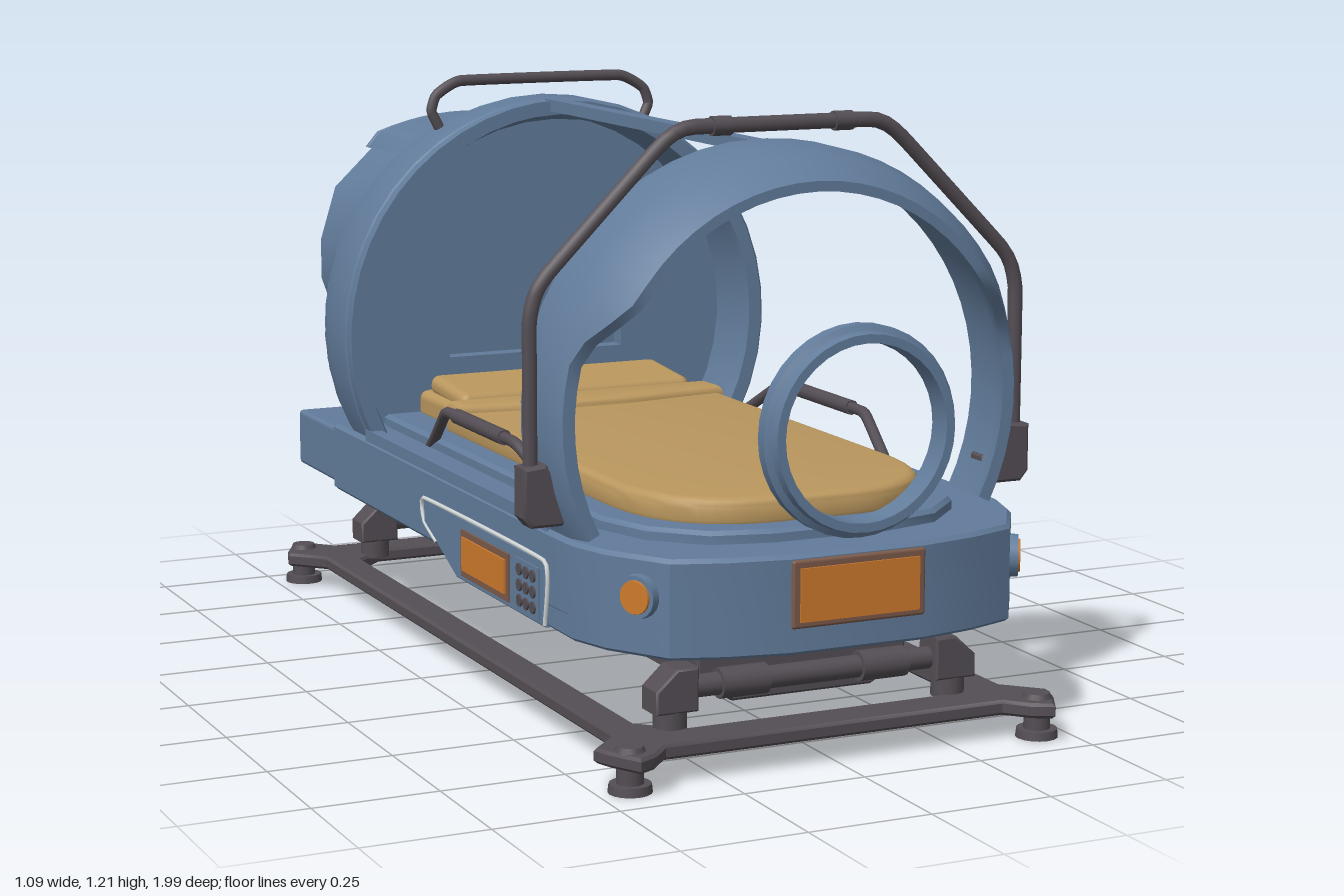
import * as THREE from 'three';
import { toCreasedNormals } from 'three/addons/utils/BufferGeometryUtils.js';
import { RoundedBoxGeometry } from 'three/addons/geometries/RoundedBoxGeometry.js';

const mat = (name, color) => Object.assign(new THREE.MeshStandardMaterial({ color }), { name });

export function createModel() {
  const root = new THREE.Group();
  const blue = mat('blue shell', 0x627c9b), dark = mat('dark metal', 0x544e54);
  const tan = mat('tan padding', 0xba975e), orange = mat('orange light', 0xcd7a2c);
  const pale = mat('pale trim', 0xd2d6d6), bronze = mat('bronze bezel', 0x7c5a4a);
  const CY = 0.65; // height of the ring axis

  // Helpers
  const add = (name, geo, m, x = 0, y = 0, z = 0) => {
    const mesh = new THREE.Mesh(geo, m);
    mesh.name = name;
    mesh.position.set(x, y, z);
    root.add(mesh);
    return mesh;
  };
  const box = (name, m, x0, x1, y0, y1, z0, z1, r = 0) => add(name,
    r ? new RoundedBoxGeometry(x1 - x0, y1 - y0, z1 - z0, 2, r) : new THREE.BoxGeometry(x1 - x0, y1 - y0, z1 - z0),
    m, (x0 + x1) / 2, (y0 + y1) / 2, (z0 + z1) / 2);
  const poly = pts => new THREE.Shape(pts.map(p => new THREE.Vector2(...p)));
  const mirrored = half => poly([...half, ...half.map(([x, y]) => [-x, y]).reverse()]);
  const extrude = (shape, h, b = 0) => toCreasedNormals(new THREE.ExtrudeGeometry(shape, {
    depth: h - 2 * b, bevelEnabled: b > 0, bevelSize: b, bevelThickness: b, bevelOffset: -b, bevelSegments: b > 0.012 ? 4 : 1, curveSegments: 12,
  }).translate(0, 0, b), 0.6);
  // Outline in x,z extruded upwards; in x,y extruded along z; in z,y extruded along x
  const slab = (name, m, shape, y0, y1, b) => add(name, extrude(shape, y1 - y0, b).rotateX(Math.PI / 2), m, 0, y1, 0);
  const plate = (name, m, shape, z0, z1, b) => add(name, extrude(shape, z1 - z0, b), m, 0, 0, z0);
  const side = (name, m, shape, x0, x1, b) => add(name, extrude(shape, x1 - x0, b).rotateY(-Math.PI / 2), m, x1, 0, 0);
  const tube = (name, m, pts, r, seg = 48) => add(name, new THREE.TubeGeometry(
    new THREE.CatmullRomCurve3(pts.map(p => new THREE.Vector3(...p)), false, 'catmullrom', 0.15), seg, r, 8), m);
  const rodX = (name, m, r, x0, x1, y, z) =>
    add(name, new THREE.CylinderGeometry(r, r, x1 - x0, 14).rotateZ(Math.PI / 2), m, (x0 + x1) / 2, y, z);
  const rect = (x0, x1, y0, y1) => poly([[x0, y0], [x1, y0], [x1, y1], [x0, y1]]);
  // Sweeps an anticlockwise (radius, z) loop around the ring axis
  const arc = (name, profile, a0, a1, n) => {
    const pos = [], idx = [];
    let k = 0;
    for (let i = 0; i <= n; i++) {
      const a = THREE.MathUtils.degToRad(a0 + (a1 - a0) * i / n), loop = profile(a);
      k = loop.length;
      for (const [r, z] of loop) pos.push(r * Math.cos(a), CY + r * Math.sin(a), z);
    }
    for (let i = 0; i < n; i++) for (let j = 0; j < k; j++) {
      const a = i * k + j, b = i * k + (j + 1) % k, c = b + k, d = a + k;
      idx.push(a, d, c, a, c, b);
    }
    const g = new THREE.BufferGeometry();
    g.setAttribute('position', new THREE.Float32BufferAttribute(pos, 3));
    g.setIndex(idx);
    return add(name, toCreasedNormals(g, 0.5), blue);
  };

  // Base frame with pointed corners and feet
  const corner = [[0.42, 0.8], [0.488, 0.87], [0.475, 0.91], [0.44, 0.975], [0.4, 0.955], [0.36, 0.91]];
  const frame = mirrored([...corner.map(([x, z]) => [x, -z]).reverse(), ...corner]);
  frame.holes.push(mirrored([[0.28, -0.82], [0.35, -0.75], [0.35, 0.75], [0.28, 0.82]]));
  slab('baseFrame', dark, frame, 0.048, 0.078, 0.006).position.z = -0.015;
  for (const x of [-0.435, 0.435]) for (const z of [0.9, -0.93]) {
    add('footPad', new THREE.CylinderGeometry(0.04, 0.042, 0.017, 16), dark, x, 0.0085, z);
    add('footStem', new THREE.CylinderGeometry(0.026, 0.026, 0.06, 14), dark, x, 0.04, z);
    add('footCap', new THREE.CylinderGeometry(0.025, 0.03, 0.012, 14), dark, x, 0.082, z);
  }

  // Pedestal: posts, cross rods and lift housing
  for (const z of [0.785, -0.815]) {
    for (const s of [-1, 1]) {
      add('postFoot', new THREE.CylinderGeometry(0.033, 0.033, 0.05, 14), dark, s * 0.3, 0.095, z);
      plate('post', dark, poly([[0.255, 0.11], [0.343, 0.11], [0.343, 0.155], [0.3, 0.195], [0.255, 0.195]]
        .map(([x, y]) => [s * x, y])), z - 0.035, z + 0.035, 0.004);
      rodX('rodCollar', dark, 0.03, s > 0 ? 0.1 : -0.2, s > 0 ? 0.2 : -0.1, 0.15, z);
    }
    rodX('crossRod', dark, 0.022, -0.26, 0.26, 0.15, z);
  }
  plate('liftHousing', dark, mirrored([[0.15, 0.1], [0.225, 0.14], [0.225, 0.28]]), -0.55, 0.75, 0.005);
  box('liftStep', dark, -0.2, 0.2, 0.13, 0.28, -0.685, -0.55);
  box('liftTail', dark, -0.17, 0.17, 0.1, 0.2, -0.79, -0.685);

  // Bed hull with rounded nose
  const nose = [[0.465, 0.6], [0.462, 0.7], [0.435, 0.79], [0.36, 0.91], [0.26, 0.945], [0.14, 0.968]];
  slab('hull', blue, mirrored([[0.465, -0.62], ...nose]), 0.28, 0.43, 0.008);
  slab('hullNose', blue, mirrored([[0.462, 0.5], ...nose.slice(1)]), 0.24, 0.42, 0.006);
  slab('tubRim', blue, mirrored([[0.37, -0.55], [0.37, 0.62], [0.33, 0.74], [0.24, 0.83], [0.12, 0.86]]), 0.42, 0.455, 0.008);
  box('underTray', blue, -0.3, 0.3, 0.25, 0.3, -0.1, 0.7);
  box('rearPlatform', blue, -0.455, 0.455, 0.29, 0.415, -0.89, -0.55, 0.01);

  // Front screen and corner lamps
  box('screenBezel', bronze, -0.14, 0.14, 0.29, 0.42, 0.94, 0.974, 0.006);
  box('frontScreen', orange, -0.125, 0.125, 0.303, 0.405, 0.97, 0.978);
  for (const s of [-1, 1]) {
    const lamp = (name, r, h, m, d) => {
      const g = new THREE.CylinderGeometry(r * 0.93, r, h, 18).rotateX(Math.PI / 2).translate(0, 0, d);
      add(name, g, m, s * 0.395, 0.355, 0.855).rotation.y = s * 1.04;
    };
    lamp('lampCollar', 0.044, 0.03, blue, 0);
    lamp('cornerLamp', 0.034, 0.01, orange, 0.014);
  }

  // Side control panels, keypads and grab handles
  for (const s of [-1, 1]) {
    const out = (name, m, shape, x0, x1, b) => side(name, m, shape, s > 0 ? x0 : -x1, s > 0 ? x1 : -x0, b);
    out('sidePanel', blue, poly([[0.585, 0.24], [0.585, 0.37], [-0.05, 0.37], [-0.05, 0.32], [0.13, 0.24]]), 0.36, 0.47, 0.003);
    tube('panelTrim', pale, [[0.585, 0.245], [0.585, 0.37], [-0.05, 0.37], [-0.05, 0.32], [0.02, 0.29]]
      .map(([z, y]) => [s * 0.469, y, z]), 0.0045, 60);
    out('sideScreenBezel', bronze, rect(0.165, 0.415, 0.252, 0.348), 0.465, 0.474);
    out('sideScreen', orange, rect(0.178, 0.402, 0.266, 0.335), 0.47, 0.478);
    out('keypad', blue, rect(0.45, 0.565, 0.25, 0.352), 0.465, 0.474);
    for (let i = 0; i < 3; i++) for (let j = 0; j < 3; j++)
      rodX('key', dark, 0.012, s * 0.474 - 0.004, s * 0.474 + 0.004, 0.27 + j * 0.031, 0.475 + i * 0.033);
    tube('grabHandle', dark, [[0.36, 0.43, 0.46], [0.365, 0.445, 0.43], [0.39, 0.525, 0.29], [0.395, 0.537, 0.25],
      [0.395, 0.537, -0.09], [0.39, 0.525, -0.13], [0.365, 0.445, -0.26], [0.36, 0.43, -0.29]].map(([x, y, z]) => [s * x, y, z]), 0.012);
    add('handleGrip', new THREE.CylinderGeometry(0.016, 0.016, 0.26, 10).rotateX(Math.PI / 2), dark, s * 0.395, 0.537, 0.08);
  }

  // Mattress and pillow
  const bed = poly([[-0.315, -0.31], [0.315, -0.31], [0.315, 0.52]]);
  bed.bezierCurveTo(0.315, 0.72, 0.22, 0.8, 0.08, 0.805);
  bed.lineTo(-0.08, 0.805);
  bed.bezierCurveTo(-0.22, 0.8, -0.315, 0.72, -0.315, 0.52);
  slab('mattress', tan, bed, 0.44, 0.503, 0.02);
  box('headPad', tan, -0.29, 0.29, 0.44, 0.505, -0.55, -0.29, 0.02);
  slab('neckRoll', tan, mirrored([[0.31, -0.32], [0.315, -0.24], [0.2, -0.225], [0.08, -0.205]]), 0.47, 0.52, 0.018);
  const pillow = box('pillow', tan, -0.275, 0.275, 0.49, 0.535, -0.52, -0.32, 0.02);
  pillow.rotation.x = 0.08;

  // Front arch: its upper part reaches forward as a tapered visor
  arc('frontArch', a => {
    const t = THREE.MathUtils.smoothstep(CY + 0.5 * Math.sin(a), 0.77, 0.93), zf = 0.71 + 0.087 * t;
    return [[0.465, 0.58], [0.505, 0.58], [0.503, 0.67], [0.492 - 0.006 * t, 0.7 + 0.03 * t],
      [0.485 - 0.04 * t, zf], [0.46 - 0.035 * t, zf], [0.465, 0.68]];
  }, -27, 207, 40);

  // Rear ring with a recessed wall
  arc('rearRing', () => [[0.455, -0.6], [0.485, -0.61], [0.505, -0.52], [0.505, -0.425], [0.498, -0.415], [0.468, -0.415], [0.455, -0.45]], -28, 208, 28);
  const dome = r => {
    const s = new THREE.Shape();
    s.absarc(0, CY, r, -0.49, Math.PI + 0.49, false);
    return s;
  };
  const wall = dome(0.46);
  wall.holes.push(rect(-0.21, 0.21, 0.57, 0.69));
  plate('innerWall', blue, wall, -0.595, -0.555);
  plate('ringBack', blue, dome(0.485), -0.61, -0.595);

  // Open canopy frame on the right half, with ridge beam
  for (const z of [-0.42, 0.55])
    arc('canopyRib', () => [[0.472, z], [0.502, z], [0.502, z + 0.03], [0.472, z + 0.03]], 90, 206, 16);
  box('ridgeBeam', blue, -0.034, 0, 1.128, 1.153, -0.42, 0.58);
  box('canopySill', blue, -0.462, -0.435, 0.425, 0.45, -0.42, 0.58);

  // Rear barrel, hood and neck
  const barrel = [[0.22, 0.52], [0.285, 0.55], [0.345, 0.62], [0.377, 0.71], [0.377, 0.8], [0.34, 0.92], [0.24, 1.015]];
  plate('rearBarrel', blue, mirrored(barrel), -0.945, -0.6, 0.008);
  plate('barrelCover', blue, mirrored(barrel.map(([x, y]) => [x * 0.93, 0.765 + (y - 0.765) * 0.93])), -0.957, -0.93, 0.004);
  const hood = poly([[-0.25, 1.005], [0.25, 1.005], [0.22, 1.04]]);
  hood.quadraticCurveTo(0, 1.12, -0.22, 1.04);
  plate('barrelHood', blue, hood, -0.965, -0.6, 0.004);
  plate('hoodLip', blue, hood, -0.985, -0.96, 0.008);
  box('barrelNeck', blue, -0.22, 0.22, 0.4, 0.53, -0.87, -0.6);
  box('neckCollar', blue, -0.26, 0.26, 0.475, 0.525, -0.91, -0.62);

  // Porthole ring at the very front
  add('portholeRing', toCreasedNormals(new THREE.LatheGeometry(
    [[0.165, 0.945], [0.2, 0.945], [0.2, 0.968], [0.188, 0.975], [0.185, 0.995], [0.168, 0.995], [0.165, 0.945]]
      .map(p => new THREE.Vector2(...p)), 36).rotateX(Math.PI / 2), 0.5), blue, 0, CY, 0);

  // Front roll bar with brackets, rear bar
  const bar = (name, half, r) => tube(name, dark, [...half.map(([x, y, z]) => [-x, y, z]), ...[...half].reverse()], r, 90);
  bar('rollBar', [[0.523, 0.5, 0.645], [0.523, 0.84, 0.645], [0.51, 0.895, 0.645], [0.485, 0.93, 0.645],
    [0.27, 1.145, 0.645], [0.235, 1.175, 0.645], [0.19, 1.19, 0.645]], 0.015);
  bar('rearBar', [[0.235, 1.07, -0.515], [0.262, 1.125, -0.52], [0.25, 1.16, -0.522], [0.19, 1.19, -0.525]], 0.012);
  for (const s of [-1, 1]) {
    rodX('barSleeve', dark, 0.019, s * 0.13 - 0.02, s * 0.13 + 0.02, 1.19, 0.645);
    plate('barBracket', dark, poly([[0.47, 0.455], [0.53, 0.455], [0.547, 0.475], [0.547, 0.57], [0.5, 0.575], [0.44, 0.51], [0.44, 0.47]]
      .map(([x, y]) => [s * x, y])), 0.62, 0.672, 0.006);
  }

  // Connectors and cables on the left side
  box('upperConnector', blue, 0.33, 0.42, 0.72, 0.81, -0.945, -0.79, 0.006);
  rodX('upperPlug', blue, 0.036, 0.4, 0.43, 0.765, -0.9);
  rodX('upperPlugLight', orange, 0.031, 0.425, 0.436, 0.765, -0.9);
  box('lowerConnector', blue, 0.43, 0.488, 0.31, 0.425, -0.87, -0.65, 0.006);
  rodX('lowerPlug', blue, 0.036, 0.48, 0.504, 0.37, -0.81);
  rodX('lowerPlugLight', orange, 0.031, 0.5, 0.511, 0.37, -0.81);
  tube('cable', dark, [[0.4, 0.775, -0.79], [0.43, 0.74, -0.73], [0.45, 0.62, -0.68], [0.46, 0.5, -0.66], [0.46, 0.42, -0.66]], 0.006);
  tube('cable', dark, [[0.4, 0.73, -0.83], [0.43, 0.68, -0.835], [0.455, 0.55, -0.82], [0.465, 0.42, -0.81]], 0.006);
  return root;
}
